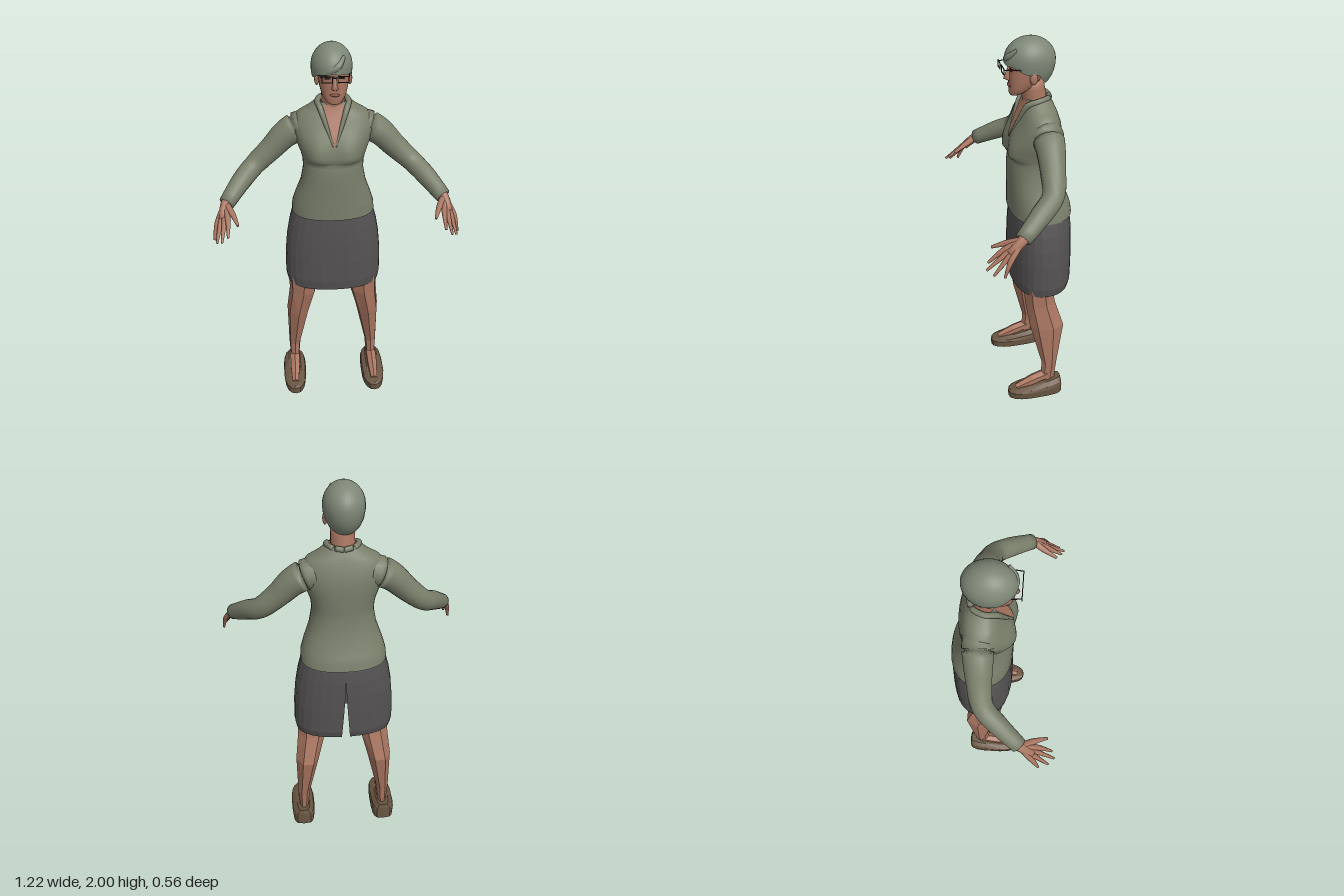
import * as THREE from 'three';

const V = (p) => new THREE.Vector3(...p);
const TAU = Math.PI * 2;
const mat = (name, color, side = THREE.FrontSide) => {
  const m = new THREE.MeshStandardMaterial({ color, side });
  m.name = name;
  return m;
};
const spow = (v, p) => Math.sign(v) * Math.abs(v) ** p;

// Linear lookup in a table of rows sorted by their first entry
function lookup(rows, k) {
  let i = 0;
  while (i < rows.length - 2 && k > rows[i + 1][0]) i++;
  const f = THREE.MathUtils.clamp((k - rows[i][0]) / (rows[i + 1][0] - rows[i][0]), 0, 1);
  return rows[i].map((v, j) => v + (rows[i + 1][j] - v) * f);
}

// Horizontal ring: height, centre x, half width, front z, back z
function ring([y, cx, hw, zf, zb], n, pow = 1) {
  return Array.from({ length: n }, (_, j) => {
    const t = (j / n) * TAU;
    return V([cx + hw * spow(Math.sin(t), pow), y, (zf + zb) / 2 + ((zf - zb) / 2) * spow(Math.cos(t), pow)]);
  });
}

// Skin a stack of rings, optionally closing the ends with fans
function loft(rings, { closed = true, start = false, end = false } = {}) {
  const n = rings[0].length, pts = rings.flat(), idx = [];
  for (let i = 0; i < rings.length - 1; i++)
    for (let j = 0; j < (closed ? n : n - 1); j++) {
      const k = (j + 1) % n, a = i * n + j, b = i * n + k;
      idx.push(a, b, b + n, a, b + n, a + n);
    }
  const cap = (i, flip) => {
    const c = rings[i].reduce((s, p) => s.add(p), new THREE.Vector3()).divideScalar(n);
    pts.push(c);
    for (let j = 0; j < n; j++) {
      const a = i * n + j, b = i * n + ((j + 1) % n);
      idx.push(...(flip ? [b, a] : [a, b]), pts.length - 1);
    }
  };
  if (start) cap(0, true);
  if (end) cap(rings.length - 1, false);
  const g = new THREE.BufferGeometry().setFromPoints(pts);
  g.setIndex(idx);
  g.computeVertexNormals();
  return g;
}

// Tapered tube along a smooth path
function limb(points, radii, n = 12, steps = 12) {
  const curve = new THREE.CatmullRomCurve3(points.map(V));
  const table = radii.map((r, i) => [i / (radii.length - 1), r]);
  const rings = [];
  for (let i = 0; i <= steps; i++) {
    const t = i / steps, p = curve.getPoint(t), d = curve.getTangent(t), r = lookup(table, t)[1];
    const ref = Math.abs(d.x) > 0.9 ? V([0, 0, 1]) : V([1, 0, 0]);
    const u = ref.cross(d).normalize(), w = d.clone().cross(u);
    rings.push(Array.from({ length: n }, (_, j) => p.clone()
      .addScaledVector(u, r * Math.cos((j / n) * TAU)).addScaledVector(w, r * Math.sin((j / n) * TAU))));
  }
  return loft(rings, { start: true, end: true });
}

function mirrored(g) {
  const m = g.clone().scale(-1, 1, 1), ix = m.index.array;
  for (let i = 0; i < ix.length; i += 3) [ix[i], ix[i + 1]] = [ix[i + 1], ix[i]];
  m.computeVertexNormals();
  return m;
}

// Jacket body: height, centre x, half width, front z, back z
const TORSO = [
  [1.10, 0, .217, .042, -.277], [1.14, 0, .214, .042, -.27], [1.2, 0, .196, .043, -.246],
  [1.28, 0, .167, .045, -.222], [1.36, 0, .153, .045, -.212], [1.41, 0, .156, .038, -.214],
  [1.45, 0, .166, .04, -.216], [1.5, 0, .185, .036, -.217], [1.55, 0, .197, .024, -.215],
  [1.6, 0, .2, .002, -.205], [1.645, 0, .175, -.018, -.19], [1.675, 0, .122, -.03, -.178],
  [1.71, 0, .078, -.04, -.16]];
const POW = 0.85;
// Bust swelling, sharp below and soft above
function bust(x, y) {
  const up = THREE.MathUtils.smoothstep(y, 1.405, 1.43) * (1 - THREE.MathUtils.smoothstep(y, 1.45, 1.59));
  return 0.026 * up * Math.exp(-(((Math.abs(x) - 0.085) / 0.065) ** 2));
}
function torsoFront(x, y) {
  const [, , hw, zf, zb] = lookup(TORSO, y);
  const t = Math.asin(Math.min(1, Math.abs(x) / hw) ** (1 / POW));
  return (zf + zb) / 2 + ((zf - zb) / 2) * Math.cos(t) ** POW + bust(x, y);
}

export function createModel() {
  const model = new THREE.Group();
  const jacket = mat('jacket sage', 0x7a7f6b, THREE.DoubleSide);
  const hairMat = mat('hair grey', 0x7e8777, THREE.DoubleSide);
  const skin = mat('skin', 0xab7762, THREE.DoubleSide);
  const skirtMat = mat('skirt charcoal', 0x555253, THREE.DoubleSide);
  const shoeMat = mat('shoe brown', 0x6a5643);
  const dark = mat('glasses black', 0x242222);
  const lip = mat('lips', 0x85503f);

  const add = (name, geo, m, flat = false) => {
    if (flat) { geo = geo.toNonIndexed(); geo.computeVertexNormals(); }
    const mesh = new THREE.Mesh(geo, m);
    mesh.name = name;
    model.add(mesh);
  };
  const pair = (name, geo, m, flat) => {
    add('left' + name, geo, m, flat);
    add('right' + name, mirrored(geo), m, flat);
  };
  const box = (w, h, d, x, y, z) => new THREE.BoxGeometry(w, h, d).translate(x, y, z);

  // Jacket body
  const heights = [1.10, 1.14, 1.17, 1.2, 1.24, 1.28, 1.32, 1.36, 1.39, 1.405, 1.418, 1.43, 1.45,
    1.475, 1.5, 1.525, 1.55, 1.575, 1.6, 1.625, 1.645, 1.66, 1.675, 1.71];
  add('jacketBody', loft(heights.map((y) => ring(lookup(TORSO, y), 40, POW).map((p) => {
    if (p.z > -0.06) p.z += bust(p.x, y);
    return p;
  }))), jacket);

  // Open neckline lying on the chest, with a rolled collar around it
  const neckline = [];
  for (let i = 0; i <= 10; i++) {
    const y = 1.51 + i * 0.019, w = 0.003 + i * 0.0048;
    neckline.push([-1, -.5, 0, .5, 1].map((k) => V([k * w, y, torsoFront(k * w, y) + 0.004])));
  }
  add('neckline', loft(neckline, { closed: false }), skin);
  pair('Collar', limb([[0, 1.705, -.16], [.05, 1.71, -.145], [.077, 1.705, -.09], [.066, 1.685, -.038],
    [.04, 1.61, torsoFront(.04, 1.61)], [.006, 1.51, torsoFront(.006, 1.51)]],
  [.014, .014, .015, .015, .011, .004], 8, 20), jacket);

  // Sleeves
  pair('Sleeve', limb([[.12, 1.575, -.115], [.18, 1.56, -.112], [.24, 1.525, -.108], [.31, 1.455, -.1], [.4, 1.375, -.078],
    [.465, 1.325, -.005], [.54, 1.255, .1]], [.075, .077, .07, .061, .053, .05, .04], 16, 24), jacket);

  // Hands: wrist to knuckle to tip for every finger
  const wrist = [.545, 1.252, .105];
  const tips = [[.533, 1.15, .262], [.563, 1.13, .275], [.59, 1.113, .248], [.605, 1.105, .2]];
  pair('Wrist', limb([[.53, 1.265, .085], wrist, [.56, 1.2, .165]], [.03, .026, .022], 8, 6), skin);
  tips.forEach((tip, i) => {
    const f = i / 3;
    const knuckle = [.533 + .055 * f, 1.205 - .025 * f, .192 - .025 * f];
    pair('Finger' + (i + 1), limb([wrist, knuckle, tip], [.018, .014, .006], 7, 8), skin);
  });
  pair('Thumb', limb([wrist, [.51, 1.228, .17], [.484, 1.2, .235]], [.02, .015, .007], 7, 8), skin);

  // Skirt with a slit at the back hem
  const SKIRT = [[.675, 0, .25, .034, -.268], [.72, 0, .258, .04, -.277], [.85, 0, .256, .04, -.278],
    [.95, 0, .247, .038, -.277], [1.03, 0, .233, .034, -.274], [1.09, 0, .217, .03, -.268], [1.14, 0, .2, .028, -.25]];
  add('skirt', loft(SKIRT.map((row, i) => {
    const gap = 0.006 + 0.05 * Math.max(0, (0.92 - row[0]) / 0.25);
    return Array.from({ length: 29 }, (_, j) => {
      const t = Math.PI + (i > 3 ? 0 : gap) + (j / 28) * (TAU - (i > 3 ? 0 : 2 * gap));
      const [y, , hw, zf, zb] = row;
      return V([hw * spow(Math.sin(t), .85), y - (i === 0 ? .008 * Math.cos(t) : 0),
        (zf + zb) / 2 + ((zf - zb) / 2) * spow(Math.cos(t), .85)]);
    });
  }), { closed: false }), skirtMat, true);

  // Angular legs
  const LEG = [[.08, .224, .024, -.085, -.165], [.2, .222, .033, -.092, -.176], [.45, .196, .064, -.03, -.218],
    [.6, .168, .076, -.008, -.172], [.7, .16, .084, 0, -.155], [.9, .14, .095, .01, -.19]];
  pair('Leg', loft(LEG.map((r) => ring(r, 7)), { end: true }), skin, true);
  pair('Foot', limb([[.225, .115, -.125], [.226, .088, -.04], [.228, .05, .055]], [.03, .03, .02], 6, 4), skin, true);

  // Shoes: rounded toe, square heel, top rising towards the heel
  const shoeRing = (y, inset, slope) => Array.from({ length: 18 }, (_, j) => {
    const t = (j / 18) * TAU, c = Math.cos(t), p = c < 0 ? .5 : .85;
    const z = -.05 + (.153 - inset * .25) * spow(c, p);
    return V([.228 + (.065 - inset) * spow(Math.sin(t), p), y + slope * (.1 - z) / .3, z]);
  });
  pair('Shoe', loft([shoeRing(0, .004, 0), shoeRing(.038, 0, .012), shoeRing(.04, .006, .035),
    shoeRing(.045, .03, .052)], { start: true, end: true }), shoeMat, true);

  // Neck and head
  add('neck', limb([[0, 1.6, -.105], [0, 1.69, -.09], [0, 1.79, -.075]], [.066, .06, .058], 14, 6), skin);
  const HEAD = [[1.725, 0, .022, .03, -.01], [1.735, 0, .04, .036, -.03], [1.765, 0, .059, .037, -.08],
    [1.8, 0, .069, .037, -.115], [1.835, 0, .075, .038, -.145], [1.855, 0, .077, .034, -.155],
    [1.88, 0, .079, .042, -.16], [1.93, 0, .078, .036, -.16], [1.97, 0, .05, 0, -.12]];
  add('head', loft(HEAD.map((r) => ring(r, 20, .92)), { start: true, end: true }), skin);
  const NOSE = [[1.8, 0, .012, .048, .02], [1.808, 0, .017, .064, .02], [1.83, 0, .011, .055, .02], [1.868, 0, .008, .04, .02]];
  add('nose', loft(NOSE.map((r) => ring(r, 8)), { start: true, end: true }), skin);
  add('lips', new THREE.SphereGeometry(1, 12, 6).scale(.025, .008, .009).translate(0, 1.775, .035), lip);
  pair('Ear', new THREE.SphereGeometry(1, 10, 8).scale(.012, .032, .02).translate(.08, 1.825, -.065), skin);
  pair('Eye', box(.026, .009, .006, .032, 1.858, .033), dark);

  // Hair: cap of swept strands ending at a hairline that drops to the nape
  const HAIRLINE = [[0, 1.882], [40, 1.872], [75, 1.842], [100, 1.842], [122, 1.795], [150, 1.775], [180, 1.77]];
  const hairRows = [];
  for (let i = 0; i <= 14; i++)
    hairRows.push(Array.from({ length: 36 }, (_, j) => {
      const t = (j / 36) * TAU, deg = (Math.min(t, TAU - t) * 180) / Math.PI;
      const low = (lookup(HAIRLINE, deg)[1] - 1.89);
      const phi = Math.acos(low / (low < 0 ? .15 : .11)) * (1 - i / 14) + 1e-3;
      const c = Math.cos(phi), s = Math.sin(phi);
      // Parting: a fold on the left of the fringe
      const x = .1 * s * Math.sin(t), front = Math.max(0, Math.cos(t));
      const fold = x > .045 ? -.008 * front * s : 0;
      return V([x - .008, 1.89 + c * (c < 0 ? .15 : .11), -.067 + (.124 * s) * Math.cos(t) + fold]);
    }));
  add('hair', loft(hairRows), hairMat);
  add('fringe', limb([[.045, 1.955, .012], [.015, 1.915, .04], [-.03, 1.89, .038], [-.085, 1.868, -.005]],
    [.008, .018, .018, .008], 8, 10), hairMat);

  // Glasses
  for (const y of [1.85, 1.879]) pair(y > 1.86 ? 'RimTop' : 'RimBottom', box(.052, .004, .004, .038, y, .074), dark);
  for (const x of [.013, .063]) pair(x > .03 ? 'RimOuter' : 'RimInner', box(.004, .031, .004, x, 1.865, .074), dark);
  add('glassesBridge', box(.026, .004, .004, 0, 1.872, .074), dark);
  pair('Temple', limb([[.064, 1.873, .075], [.072, 1.87, .01], [.082, 1.855, -.06]], [.0025, .0025, .0025], 5, 4), dark);

  return model;
}
